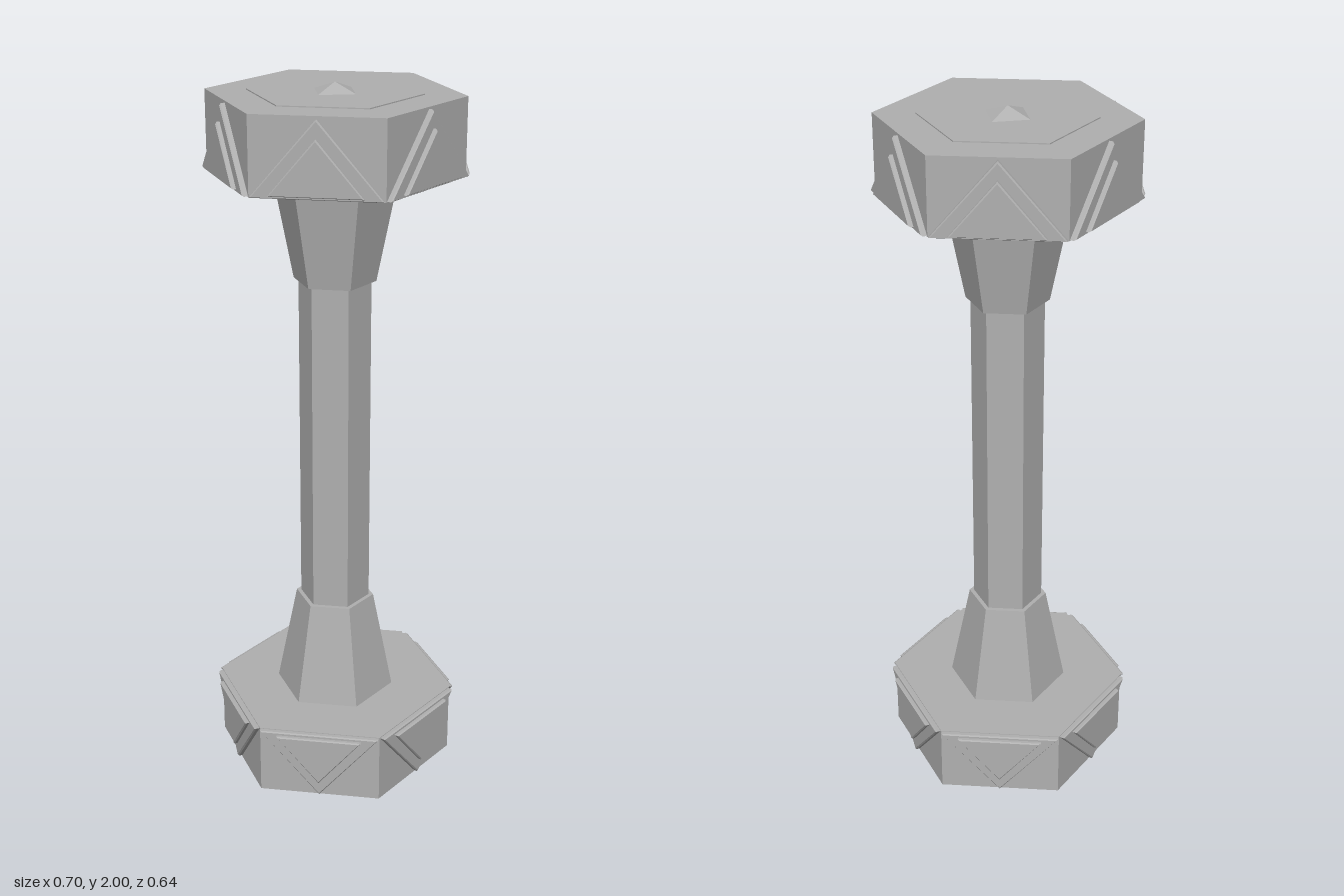
import * as THREE from 'three';

const grey = new THREE.MeshStandardMaterial({ color: 0xb0b0b0, flatShading: true });
grey.name = 'stone grey';

function add(parent, name, geometry, y = 0) {
  const mesh = new THREE.Mesh(geometry, grey);
  mesh.name = name;
  mesh.position.y = y;
  parent.add(mesh);
  return mesh;
}

// Hexagonal prism or frustum with corners on the x axis
const hex = (rTop, rBottom, height) =>
  new THREE.CylinderGeometry(rTop, rBottom, height, 6, 1, false, Math.PI / 2);

// Triangular panel with softened edges; its front lies at z = front
function trianglePanel(halfWidth, base, apex, front) {
  const bevel = 0.004, depth = 0.03;
  const shape = new THREE.Shape([
    new THREE.Vector2(-halfWidth, base),
    new THREE.Vector2(halfWidth, base),
    new THREE.Vector2(0, apex),
  ]);
  const geometry = new THREE.ExtrudeGeometry(shape, {
    depth, bevelEnabled: true, bevelSegments: 1,
    bevelSize: bevel, bevelThickness: bevel, bevelOffset: -bevel,
  });
  return geometry.translate(0, 0, front - depth - bevel);
}

// One end of the handle, with heights measured from the model's middle
function createEnd(name) {
  const end = new THREE.Group();
  end.name = name;
  add(end, 'neck', hex(0.17, 0.112, 0.295), 0.6225);
  add(end, 'head', hex(0.341, 0.341, 0.205), 0.8705);
  add(end, 'capPlate', hex(0.231, 0.231, 0.008), 0.972);

  // Four-sided stud on the cap
  add(end, 'stud', new THREE.ConeGeometry(0.074, 0.026, 4), 0.987);

  // Nested triangles on each of the six sides
  for (let i = 0; i < 6; i++) {
    const side = new THREE.Group();
    side.name = 'sideOrnament';
    side.rotation.y = i * Math.PI / 3;
    add(side, 'outerTriangle', trianglePanel(0.168, 0.77, 0.968, 0.31));
    add(side, 'innerTriangle', trianglePanel(0.12, 0.778, 0.922, 0.322));
    end.add(side);
  }
  return end;
}

export function createModel() {
  const model = new THREE.Group();
  model.name = 'hexagonalHandle';

  add(model, 'shaft', hex(0.099, 0.099, 1.0), 1);

  // Matching ends, the lower one turned over
  const top = createEnd('topEnd');
  const bottom = createEnd('bottomEnd');
  bottom.rotation.x = Math.PI;
  for (const end of [top, bottom]) {
    end.position.y = 1;
    model.add(end);
  }
  return model;
}
